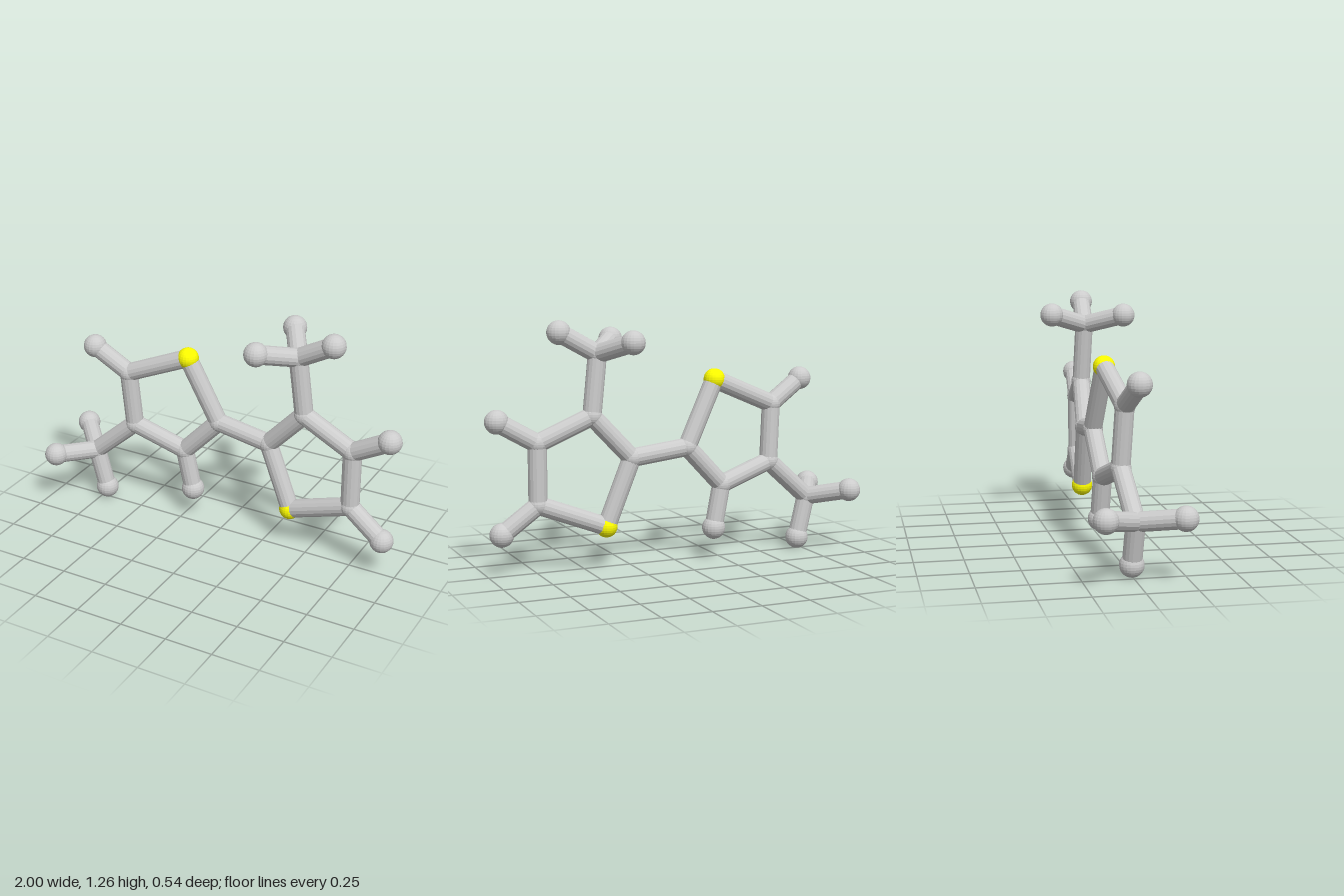
import * as THREE from 'three';

const GREY = new THREE.MeshStandardMaterial({ color: 0xcccccc, flatShading: true });
const YELLOW = new THREE.MeshStandardMaterial({ color: 0xffff00, flatShading: true });

// Atom positions: S sulphur, C ring carbon, M methyl carbon, H hydrogen
const ATOMS = {
  // left ring
  S1: [-0.21, 0.94, -0.035],
  C1a: [-0.045, 0.6, -0.06],
  C1b: [-0.245, 0.39, -0.05],
  C1c: [-0.535, 0.49, -0.02],
  C1d: [-0.555, 0.795, -0.005],
  H1b: [-0.2, 0.165, -0.055],
  H1d: [-0.74, 0.92, 0.025],
  M1: [-0.775, 0.28, 0],
  H1m: [-0.94, 0.33, -0.175],
  H1n: [-0.9, 0.315, 0.21],
  H1o: [-0.72, 0.06, -0.005],
  // right ring
  S2: [0.39, 0.215, -0.035],
  C2a: [0.255, 0.56, -0.045],
  C2b: [0.46, 0.78, -0.025],
  C2c: [0.74, 0.655, 0],
  C2d: [0.74, 0.345, 0],
  H2c: [0.94, 0.77, 0.02],
  H2d: [0.925, 0.205, 0.015],
  M2: [0.425, 1.09, -0.015],
  H2m: [0.62, 1.2, 0.005],
  H2n: [0.285, 1.15, 0.17],
  H2o: [0.31, 1.155, -0.21],
};

// Pairs of joined atoms
const BONDS = [
  'S1 C1a', 'C1a C1b', 'C1b C1c', 'C1c C1d', 'C1d S1',
  'C1b H1b', 'C1d H1d', 'C1c M1', 'M1 H1m', 'M1 H1n', 'M1 H1o',
  'C1a C2a',
  'S2 C2a', 'C2a C2b', 'C2b C2c', 'C2c C2d', 'C2d S2',
  'C2c H2c', 'C2d H2d', 'C2b M2', 'M2 H2m', 'M2 H2n', 'M2 H2o',
];

const KINDS = {
  S: { name: 'sulphurAtom', radius: 0.056, material: YELLOW },
  C: { name: 'ringCarbon', radius: 0.053, material: GREY },
  M: { name: 'methylCarbon', radius: 0.053, material: GREY },
  H: { name: 'hydrogenAtom', radius: 0.061, material: GREY },
};

const BOND_RADIUS = 0.048;
const UP = new THREE.Vector3(0, 1, 0);

// Rod between two points
function rod(a, b) {
  const dir = b.clone().sub(a);
  const mesh = new THREE.Mesh(
    new THREE.CylinderGeometry(BOND_RADIUS, BOND_RADIUS, dir.length(), 16), GREY);
  mesh.position.copy(a).add(b).multiplyScalar(0.5);
  mesh.quaternion.setFromUnitVectors(UP, dir.normalize());
  return mesh;
}

export function createModel() {
  const model = new THREE.Group();
  model.name = 'molecule';
  const at = (id) => new THREE.Vector3(...ATOMS[id]);

  // Atoms
  for (const id of Object.keys(ATOMS)) {
    const { name, radius, material } = KINDS[id[0]];
    const atom = new THREE.Mesh(new THREE.SphereGeometry(radius, 20, 14), material);
    atom.name = name;
    atom.position.copy(at(id));
    model.add(atom);
  }

  // Bonds
  for (const pair of BONDS) {
    const [a, b] = pair.split(' ');
    const bond = rod(at(a), at(b));
    bond.name = 'bond';
    model.add(bond);
  }
  return model;
}
